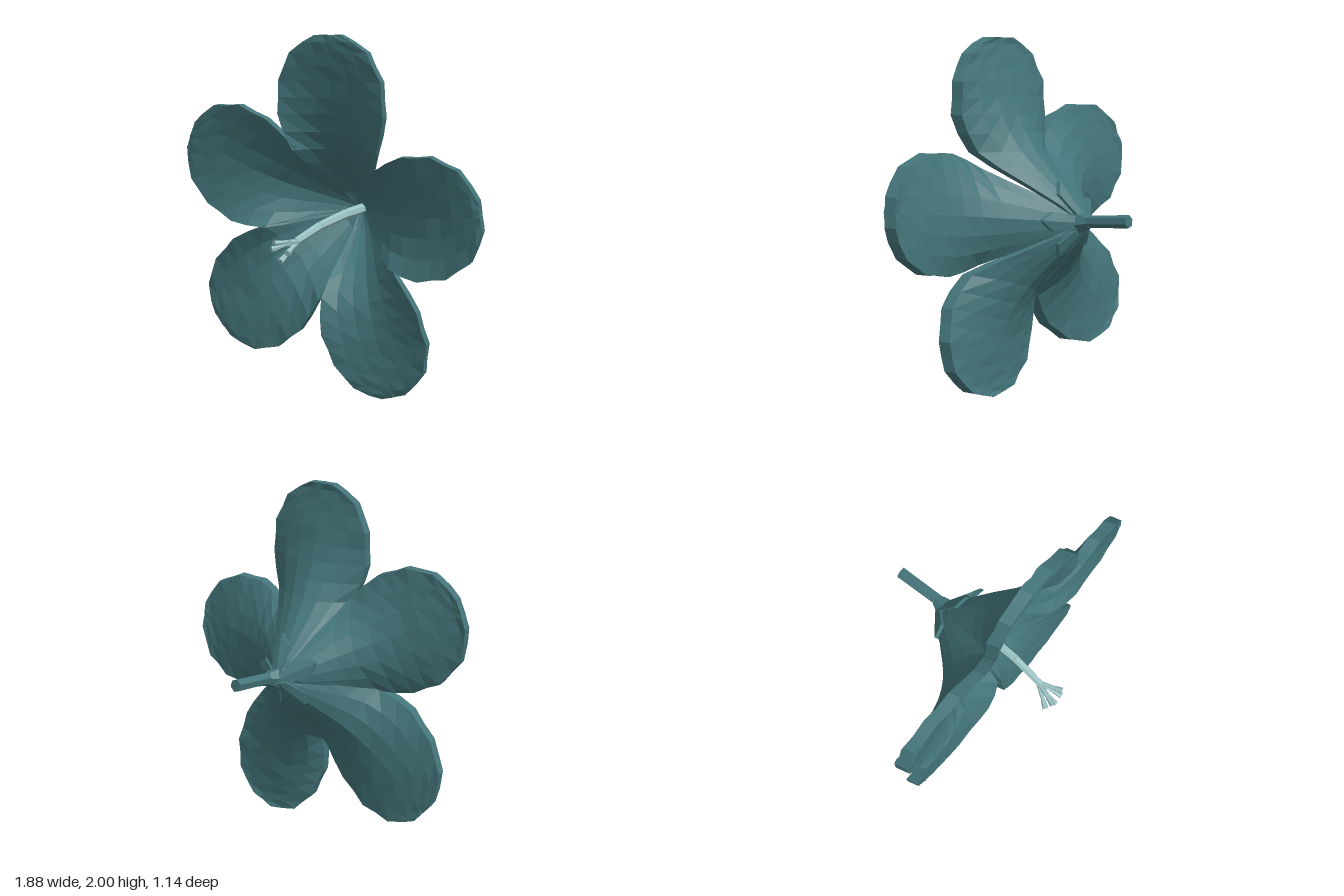
import * as THREE from 'three';

const CX = 0.07, CY = 0.98;

// Point in the tilted flower: (dx, dy) from the throat, h = depth along the flower
const place = (dx, dy, h) =>
  new THREE.Vector3(CX + dx, CY + dy, h + 0.26 * dx + 0.08 * dy);

// Rows from base to tip: [fraction of length, half width, depth at midrib, depth at edge]
const PETAL_ROWS = [
  [0.00, 0.020, -0.25, -0.25],
  [0.10, 0.080, -0.20, -0.16],
  [0.20, 0.150, -0.11, -0.03],
  [0.30, 0.218, -0.02, 0.11],
  [0.38, 0.268, 0.045, 0.20],
  [0.48, 0.308, 0.11, 0.225],
  [0.58, 0.335, 0.15, 0.235],
  [0.67, 0.325, 0.175, 0.23],
  [0.76, 0.324, 0.19, 0.225],
  [0.84, 0.278, 0.205, 0.225],
  [0.91, 0.243, 0.215, 0.22],
  [0.965, 0.155, 0.22, 0.22],
  [1.00, 0.080, 0.215, 0.21],
];

const SEPAL_ROWS = [
  [0.00, 0.018, -0.285, -0.285],
  [0.35, 0.040, -0.24, -0.23],
  [0.75, 0.052, -0.185, -0.17],
  [1.00, 0.006, -0.15, -0.15],
];

// Closed, flat-shaded leaf-like slab made from cross rows
function bladeGeometry(rows, { angle, length, width = 1, crowd = 1 }, columns, thickness, ripple) {
  const a = THREE.MathUtils.degToRad(angle);
  const d = [Math.cos(a), Math.sin(a)];
  const p = [-d[1], d[0]];
  const front = [], back = [];
  rows.forEach(([u, hw, mid, edge], i) => {
    front.push([]);
    back.push([]);
    const half = thickness(u) / 2;
    for (let j = 0; j <= columns; j++) {
      const v = (2 * j) / columns - 1;
      const s = v * hw * width, r = Math.pow(u, crowd) * length;
      const wave = ripple * u * Math.sin(i * 2.3 + j * 1.9);
      const h = mid + (edge - mid) * Math.pow(Math.abs(v), 1.7) + wave;
      const x = d[0] * r + p[0] * s, y = d[1] * r + p[1] * s;
      front[i].push(place(x, y, h + half));
      back[i].push(place(x, y, h - half));
    }
  });
  const pos = [];
  const quad = (a, b, c, e) => {
    for (const q of [a, b, c, a, c, e]) pos.push(q.x, q.y, q.z);
  };
  const n = rows.length - 1;
  for (let i = 0; i < n; i++) {
    for (let j = 0; j < columns; j++) {
      quad(front[i][j], front[i + 1][j], front[i + 1][j + 1], front[i][j + 1]);
      quad(back[i][j], back[i][j + 1], back[i + 1][j + 1], back[i + 1][j]);
    }
  }
  // Rim around the outline
  const loop = [];
  for (let i = 0; i <= n; i++) loop.push([i, 0]);
  for (let j = 1; j <= columns; j++) loop.push([n, j]);
  for (let i = n - 1; i >= 0; i--) loop.push([i, columns]);
  for (let j = columns - 1; j > 0; j--) loop.push([0, j]);
  loop.forEach(([i, j], k) => {
    const [i2, j2] = loop[(k + 1) % loop.length];
    quad(back[i][j], back[i2][j2], front[i2][j2], front[i][j]);
  });
  const geo = new THREE.BufferGeometry();
  geo.setAttribute('position', new THREE.Float32BufferAttribute(pos, 3));
  geo.computeVertexNormals();
  return geo;
}

// Six-sided tapered rod between two points
function rod(name, a, b, ra, rb, material) {
  const from = new THREE.Vector3(...a), to = new THREE.Vector3(...b);
  const dir = to.clone().sub(from);
  const geo = new THREE.CylinderGeometry(rb, ra, dir.length(), 6);
  const mesh = new THREE.Mesh(geo, material);
  mesh.name = name;
  mesh.quaternion.setFromUnitVectors(new THREE.Vector3(0, 1, 0), dir.normalize());
  mesh.position.copy(from.add(to).multiplyScalar(0.5));
  return mesh;
}

export function createModel() {
  const flower = new THREE.Group();
  flower.name = 'flower';
  const teal = new THREE.MeshStandardMaterial({ color: 0x44757a });
  teal.name = 'teal';
  const pale = new THREE.MeshStandardMaterial({ color: 0x9cc4c6 });
  pale.name = 'pale teal';
  teal.flatShading = pale.flatShading = true;

  // Petals, each with its own direction and size
  const petals = [
    { angle: 91, length: 1.02, width: 0.99 },
    { angle: 8, length: 0.87, width: 1.0, crowd: 1.15 },
    { angle: -70, length: 1.015, width: 0.96 },
    { angle: 221.5, length: 1.08, width: 0.99 },
    { angle: 156.3, length: 1.06, width: 1.0 },
  ];
  for (const shape of petals) {
    const geo = bladeGeometry(PETAL_ROWS, shape, 6,
      (u) => 0.02 + 0.05 * Math.min(1, u * 2.2), 0.003);
    const petal = new THREE.Mesh(geo, teal);
    petal.name = 'petal';
    flower.add(petal);
  }

  // Sepals behind the petals
  for (let k = 0; k < 5; k++) {
    const shape = { angle: 80 + 72 * k, length: k === 1 || k === 0 ? 0.23 : 0.2 };
    const sepal = new THREE.Mesh(bladeGeometry(SEPAL_ROWS, shape, 2, () => 0.02, 0), teal);
    sepal.name = 'sepal';
    flower.add(sepal);
  }

  // Stem and its flared cup
  flower.add(rod('stem', [0.165, 1.02, -0.565], [0.105, 0.995, -0.29], 0.036, 0.034, teal));
  flower.add(rod('cup', [0.108, 0.995, -0.31], [0.075, 0.98, -0.22], 0.036, 0.075, teal));

  // Pistil, bent in three lengths
  const path = [[0.08, 0.985, -0.24], [0.045, 0.985, 0.0], [-0.02, 0.955, 0.24], [-0.085, 0.9, 0.43]];
  for (let i = 0; i < 3; i++) {
    flower.add(rod('pistil', path[i], path[i + 1], 0.03 - i * 0.003, 0.027 - i * 0.003, pale));
  }

  // Stamens with blunt tips
  const tips = [
    [-0.195, 0.865, 0.51], [-0.17, 0.905, 0.54], [-0.13, 0.81, 0.545],
    [-0.075, 0.915, 0.555], [-0.085, 0.86, 0.56],
  ];
  const root = new THREE.Vector3(-0.08, 0.9, 0.41);
  for (const tip of tips) {
    const neck = root.clone().lerp(new THREE.Vector3(...tip), 0.7).toArray();
    flower.add(rod('stamen', root.toArray(), neck, 0.013, 0.011, pale));
    flower.add(rod('stamenTip', neck, tip, 0.014, 0.018, pale));
  }
  return flower;
}
